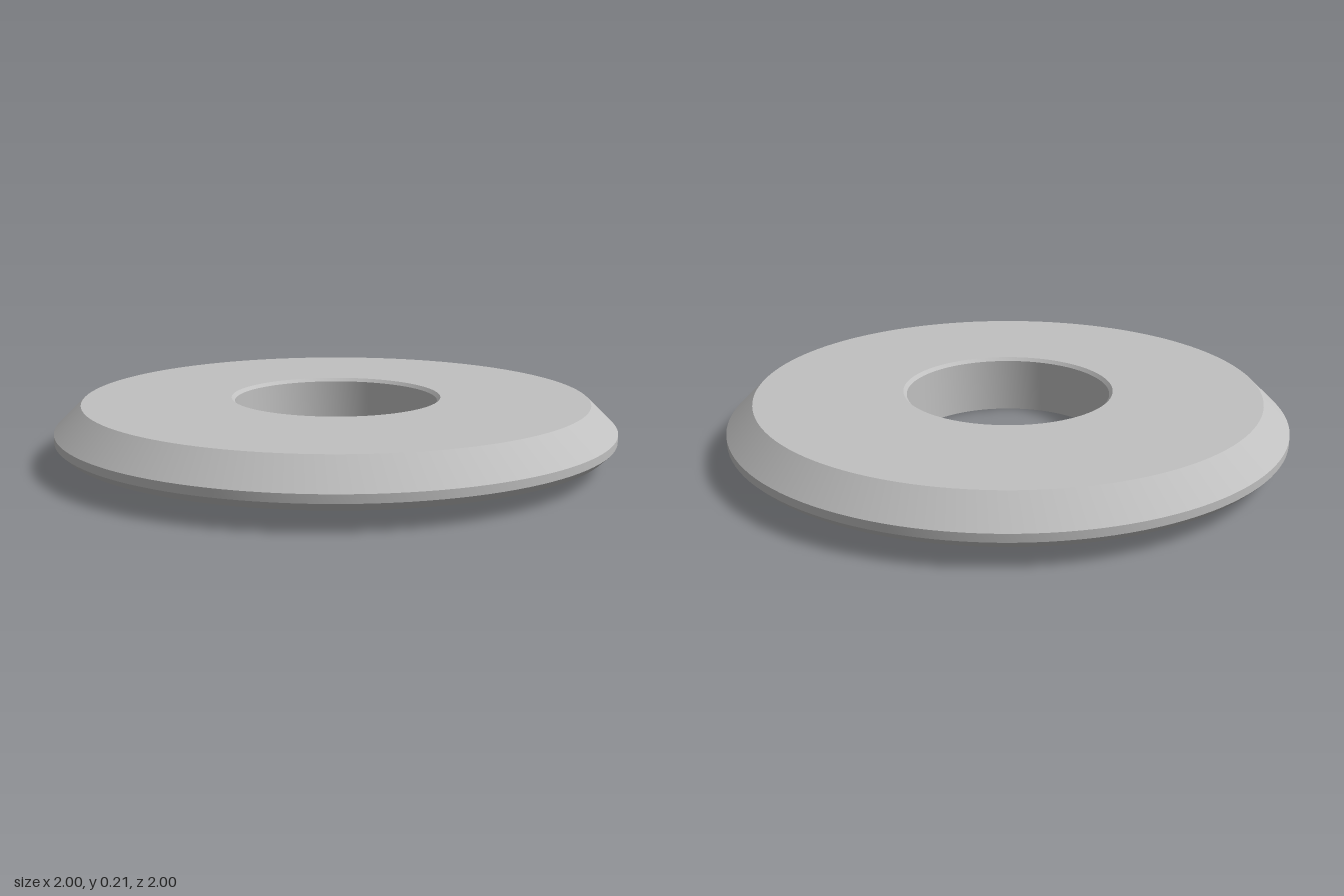
import * as THREE from 'three';
import { toCreasedNormals } from 'three/addons/utils/BufferGeometryUtils.js';

export function createModel() {
  const group = new THREE.Group();
  group.name = 'flangedWasher';

  const greyMetal = new THREE.MeshStandardMaterial({ color: 0xc0c0c0 });
  greyMetal.name = 'greyMetal';

  // Closed cross-section (radius, height), counterclockwise from the bottom of the bore
  const profile = [
    [0.365, 0], [0.5, 0],           // underside of the raised collar
    [0.5, 0.063], [0.973, 0.063],   // collar wall and disc underside
    [1, 0.09], [1, 0.118],          // lower chamfer and rim
    [0.905, 0.21], [0.377, 0.21],   // wide upper chamfer and top face
    [0.365, 0.198], [0.365, 0],     // bore chamfer and bore wall
  ].map(([r, y]) => new THREE.Vector2(r, y));

  const geometry = toCreasedNormals(new THREE.LatheGeometry(profile, 128), 0.5);
  const washer = new THREE.Mesh(geometry, greyMetal);
  washer.name = 'washerBody';
  group.add(washer);
  return group;
}
